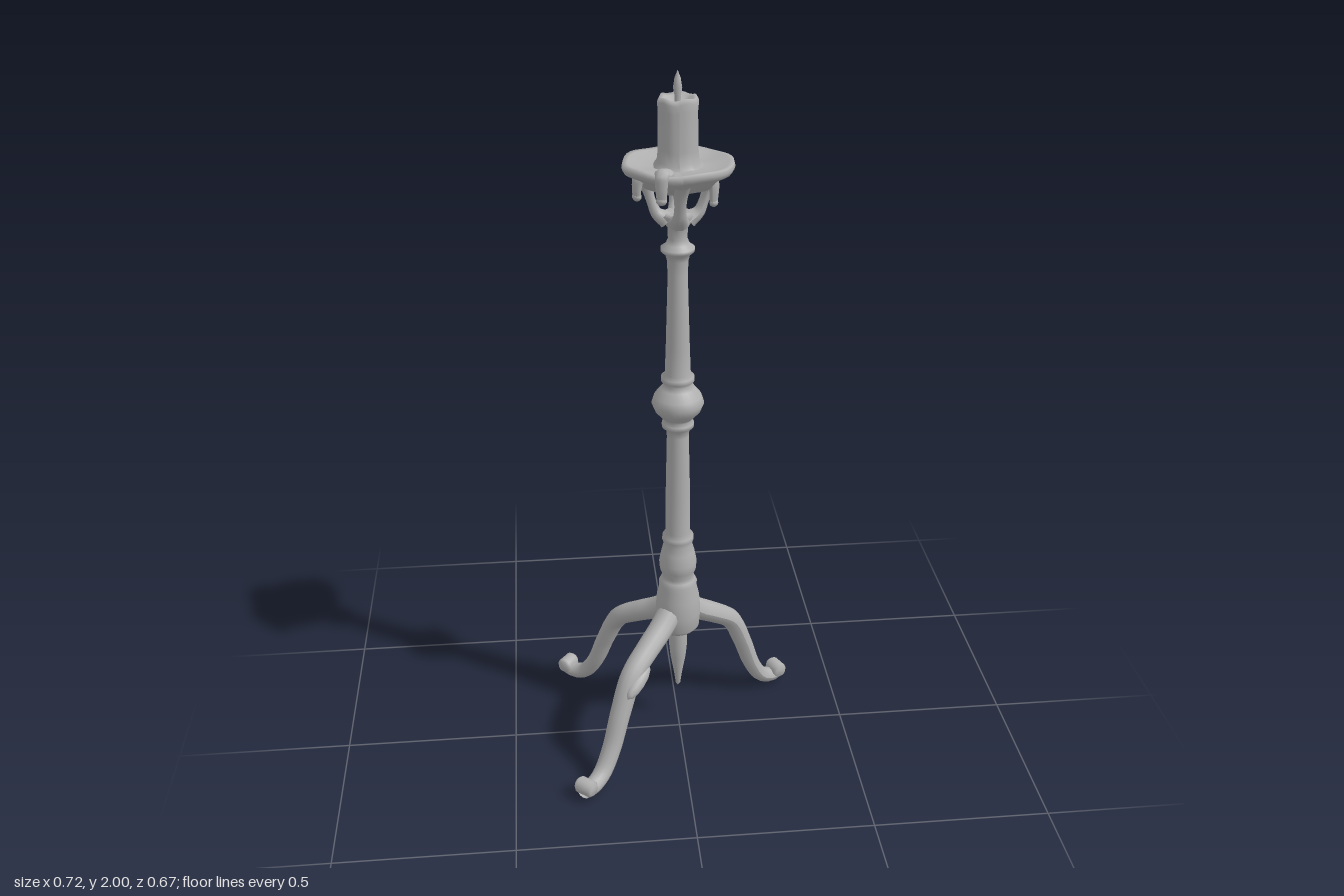
import * as THREE from 'three';

const AXIS_Z = -0.048;
const grey = new THREE.MeshStandardMaterial({ color: 0xb0b0b0 });
grey.name = 'stone grey';
grey.side = THREE.DoubleSide;

const v2 = (p) => new THREE.Vector2(p[0], p[1]);
const v3 = (p) => new THREE.Vector3(p[0], p[1], p[2] || 0);

function add(parent, name, geometry) {
  const m = new THREE.Mesh(geometry, grey);
  m.name = name;
  parent.add(m);
  return m;
}

const lathe = (points, segments = 28) => new THREE.LatheGeometry(points.map(v2), segments);

// Swept tube whose thickness follows radiusAt(t); width scales it sideways
function sweep(points, radiusAt, width = 1, steps = 40, sides = 12) {
  const curve = new THREE.CatmullRomCurve3(points.map(v3));
  const g = new THREE.TubeGeometry(curve, steps, 1, sides);
  const pos = g.attributes.position, p = new THREE.Vector3();
  for (let i = 0; i < pos.count; i++) {
    const t = Math.floor(i / (sides + 1)) / steps;
    const c = curve.getPointAt(t);
    p.fromBufferAttribute(pos, i).sub(c).multiplyScalar(radiusAt(t));
    p.z *= width;
    pos.setXYZ(i, c.x + p.x, c.y + p.y, c.z + p.z);
  }
  g.computeVertexNormals();
  return g;
}

// Gentle hand-made unevenness around the axis
function wobble(g, radial, lift) {
  const pos = g.attributes.position;
  for (let i = 0; i < pos.count; i++) {
    const x = pos.getX(i), z = pos.getZ(i), r = Math.hypot(x, z), a = Math.atan2(z, x);
    const k = 1 + radial * (Math.sin(3 * a + 1) + 0.6 * Math.sin(7 * a));
    pos.setXYZ(i, x * k, pos.getY(i) + lift * r * Math.sin(5 * a + 2), z * k);
  }
  g.computeVertexNormals();
  return g;
}

function makeLeg(x, z) {
  const leg = new THREE.Group();
  leg.name = 'leg';
  const L = Math.hypot(x, z);
  const path = [[0.06, 0.415], [0.19, 0.375], [0.32, 0.345], [0.5, 0.295], [0.62, 0.2],
    [0.72, 0.1], [0.82, 0.042], [0.92, 0.026], [1.0, 0.035]].map(([u, y]) => [u * L, y]);
  add(leg, 'legCurve', sweep(path, (t) => 0.034 - 0.012 * t, 1.12));
  // Scrolled foot lying across the leg
  const scroll = add(leg, 'footScroll', lathe(
    [[0, -0.03], [0.017, -0.029], [0.024, -0.021], [0.024, 0.021], [0.017, 0.029], [0, 0.03]], 16));
  scroll.rotation.x = Math.PI / 2;
  scroll.position.set(L - 0.01, 0.044, 0);
  // Rough acanthus edge on the upper flank
  const flap = add(leg, 'legFlap', new THREE.SphereGeometry(1, 12, 8));
  flap.scale.set(0.06, 0.022, 0.02);
  flap.rotation.z = -0.5;
  flap.position.set(0.5 * L, 0.283, x < 0 && z > 0 || z < 0 && x < 0 ? 0.024 : -0.024);
  if (x > 0) flap.position.z = -0.024;
  if (x < 0 && z > 0) flap.position.z = -0.024;
  leg.rotation.y = Math.atan2(-z, x);
  return leg;
}

export function createModel() {
  const model = new THREE.Group();
  model.name = 'candlestick';
  const body = new THREE.Group();
  body.name = 'body';
  body.position.z = AXIS_Z;
  model.add(body);

  // Turned stem, from hub to neck
  add(body, 'stem', lathe([
    [0, 0.335], [0.05, 0.335], [0.063, 0.35], [0.067, 0.40], [0.063, 0.45], [0.055, 0.485],
    [0.056, 0.50], [0.05, 0.512], [0.044, 0.522], [0.053, 0.545], [0.055, 0.57], [0.048, 0.605],
    [0.041, 0.63], [0.046, 0.645], [0.045, 0.657], [0.036, 0.67], [0.035, 0.80], [0.031, 0.98],
    [0.033, 1.0], [0.045, 1.01], [0.045, 1.022], [0.037, 1.03], [0.046, 1.04], [0.064, 1.06],
    [0.073, 1.083], [0.066, 1.105], [0.048, 1.128], [0.038, 1.14], [0.046, 1.15], [0.046, 1.163],
    [0.036, 1.172], [0.033, 1.25], [0.027, 1.46], [0.029, 1.50], [0.033, 1.515], [0.045, 1.525],
    [0.046, 1.535], [0.032, 1.545], [0.026, 1.56], [0.027, 1.59], [0.037, 1.605],
    [0.045, 1.625], [0.036, 1.632], [0, 1.63]]));

  // Small knob behind the middle bulb
  const knob = add(body, 'bulbKnob', new THREE.SphereGeometry(0.022, 10, 8));
  knob.scale.set(1.3, 0.8, 1);
  knob.position.set(0.005, 1.085, -0.062);

  // Hanging spike below the hub
  add(body, 'spike', lathe([[0, 0.12], [0.007, 0.13], [0.014, 0.18], [0.023, 0.23],
    [0.028, 0.28], [0.027, 0.345]], 14));

  // Pierced cup below the dish
  for (let i = 0; i < 4; i++) {
    const strut = add(body, 'cupStrut', sweep(
      [[0.03, 1.612], [0.055, 1.63], [0.068, 1.66], [0.078, 1.695], [0.088, 1.73]],
      (t) => 0.013 + 0.011 * Math.pow(2 * t - 1, 2), 1.2, 16, 10));
    strut.rotation.y = i * Math.PI / 2;
  }

  // Drip dish
  add(body, 'dish', wobble(lathe([
    [0, 1.70], [0.06, 1.70], [0.09, 1.705], [0.108, 1.728], [0.14, 1.745], [0.146, 1.757],
    [0.143, 1.769], [0.13, 1.768], [0.10, 1.757], [0.055, 1.756], [0, 1.757]], 40), 0.01, 0.02));

  // Candle, wax rim and wick
  add(body, 'candle', wobble(lathe([
    [0.066, 1.755], [0.056, 1.768], [0.052, 1.80], [0.051, 1.90], [0.053, 1.922], [0.047, 1.934],
    [0.038, 1.929], [0.022, 1.917], [0, 1.916]], 24), 0.018, 0.06));
  add(body, 'wick', lathe([[0.009, 1.912], [0.008, 1.935], [0.012, 1.955], [0.008, 1.98],
    [0, 2.0]], 10));

  // Wax drips over the rim: angle, start radius, end radius, bottom height
  const drips = [[-1.22, 0.115, 0.147, 1.685], [1.95, 0.12, 0.145, 1.705],
    [2.75, 0.10, 0.118, 1.69], [0.35, 0.09, 0.096, 1.665]];
  drips.forEach(([angle, r0, r1, bottom], i) => {
    const top = i < 2 ? 1.766 : 1.735;
    const drip = new THREE.Group();
    drip.name = 'waxDrip';
    drip.rotation.y = -angle;
    body.add(drip);
    add(drip, 'dripRun', sweep([[r0, top], [r1 - 0.006, top + 0.002], [r1, top - 0.025],
      [r1, bottom]], (t) => 0.016 - 0.006 * t, 1.3, 14, 10));
    const bead = add(drip, 'dripBead', new THREE.SphereGeometry(0.012, 10, 8));
    bead.scale.z = 1.2;
    bead.position.set(r1, bottom, 0);
    if (i < 2) {
      const pool = add(drip, 'dripPool', new THREE.SphereGeometry(1, 12, 8));
      pool.scale.set(0.028, 0.014, 0.026);
      pool.position.set(r0, top, 0);
    }
  });

  // Three unevenly spread legs, given by the foot position from the axis
  for (const [x, z] of [[-0.305, 0.36], [-0.338, -0.26], [0.34, -0.168]]) body.add(makeLeg(x, z));
  return model;
}
